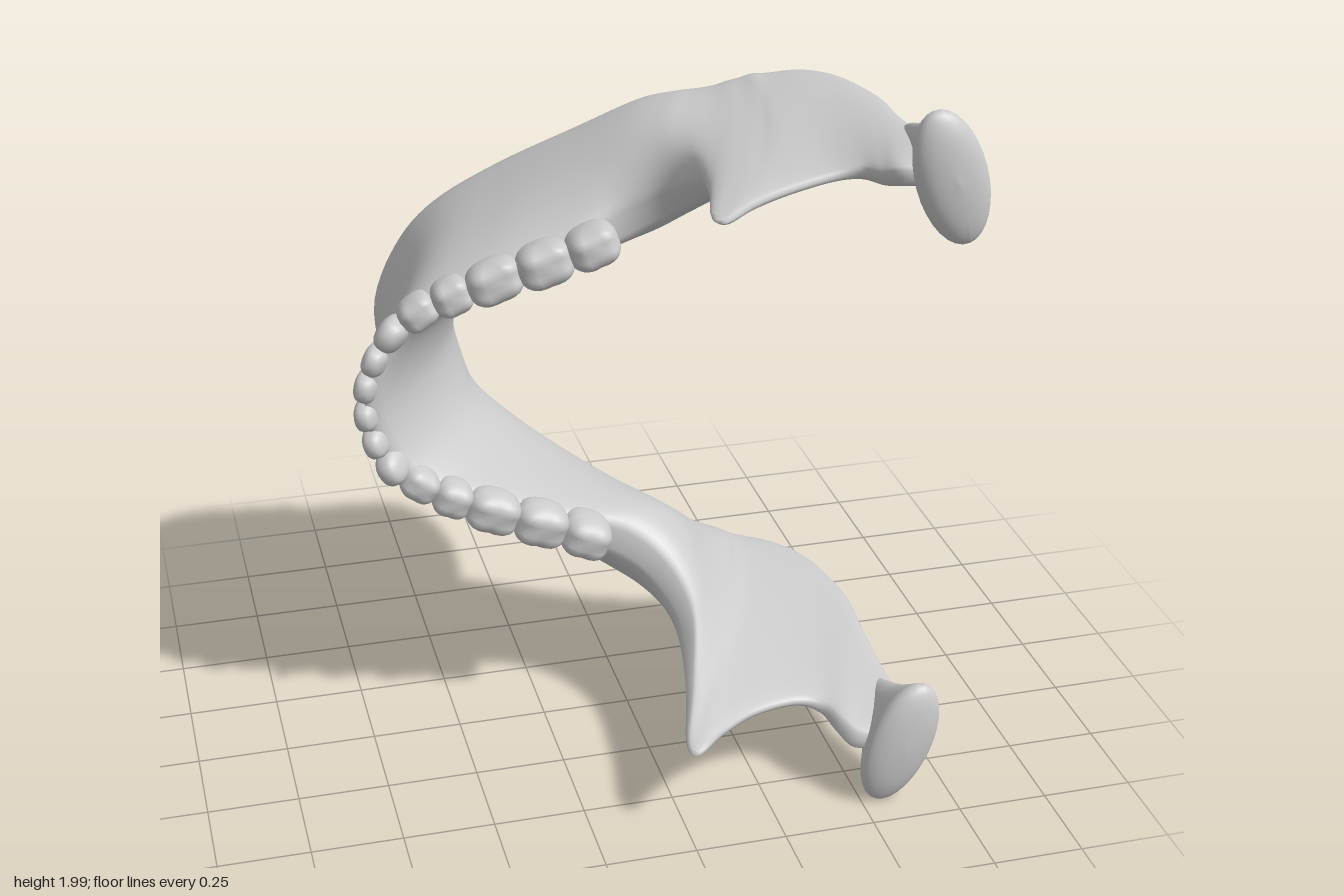
import * as THREE from 'three';

// Working frame: x = back of the jaw, y = sideways from its midline, z = towards the teeth.
// Each column of the bone sheet is bottom, middle, top; each as [x, y, z, thickness].
const BODY = [
  [[-0.50, 0, -0.69, 0.30], [-0.535, 0, -0.35, 0.19], [-0.705, 0, -0.03, 0.10]],
  [[-0.46, 0.15, -0.685, 0.26], [-0.49, 0.16, -0.35, 0.18], [-0.665, 0.15, -0.03, 0.10]],
  [[-0.38, 0.28, -0.65, 0.20], [-0.41, 0.29, -0.32, 0.18], [-0.57, 0.26, -0.02, 0.11]],
  [[-0.22, 0.41, -0.59, 0.16], [-0.25, 0.395, -0.28, 0.18], [-0.38, 0.345, 0.0, 0.13]],
  [[-0.02, 0.54, -0.50, 0.14], [-0.06, 0.495, -0.22, 0.20], [-0.16, 0.42, 0.01, 0.14]],
  [[0.14, 0.64, -0.43, 0.14], [0.07, 0.555, -0.16, 0.23], [0.0, 0.49, 0.0, 0.15]],
  [[0.24, 0.675, -0.39, 0.13], [0.155, 0.605, -0.12, 0.22], [0.10, 0.565, 0.06, 0.14]],
  [[0.30, 0.69, -0.37, 0.12], [0.205, 0.645, -0.07, 0.18], [0.14, 0.64, 0.20, 0.11]],
];
const RAMUS = [
  [[0.34, 0.70, -0.36, 0.12], [0.245, 0.68, 0.0, 0.14], [0.09, 0.71, 0.42, 0.07]],
  [[0.37, 0.71, -0.355, 0.12], [0.275, 0.705, 0.05, 0.11], [0.03, 0.75, 0.62, 0.04]],
  [[0.40, 0.72, -0.35, 0.11], [0.30, 0.72, 0.08, 0.09], [0.05, 0.76, 0.67, 0.04]],
  [[0.43, 0.73, -0.345, 0.11], [0.33, 0.73, 0.09, 0.08], [0.14, 0.76, 0.59, 0.05]],
  [[0.47, 0.735, -0.335, 0.10], [0.37, 0.74, 0.09, 0.08], [0.25, 0.76, 0.52, 0.05]],
  [[0.56, 0.75, -0.30, 0.10], [0.465, 0.755, 0.09, 0.08], [0.38, 0.77, 0.48, 0.05]],
  [[0.635, 0.76, -0.20, 0.10], [0.54, 0.77, 0.15, 0.085], [0.45, 0.785, 0.50, 0.07]],
  [[0.68, 0.77, 0.0, 0.10], [0.58, 0.785, 0.285, 0.095], [0.48, 0.80, 0.57, 0.09]],
  [[0.67, 0.785, 0.20, 0.10], [0.60, 0.80, 0.41, 0.10], [0.52, 0.82, 0.62, 0.10]],
  [[0.665, 0.81, 0.42, 0.10], [0.645, 0.815, 0.525, 0.10], [0.62, 0.82, 0.63, 0.10]],
];
const COLUMNS = BODY.concat(RAMUS);
const LAST = COLUMNS.length - 1;

// The slight skew of the whole jaw, and its place in the world.
const PLACE = new THREE.Matrix4().set(
  1, 0.03, 0, 0,
  -0.02, 1, -0.03, 1.031,
  0, 0, 1, 0,
  0, 0, 0, 1);

// Number k of row r in column i; negative columns mirror to the other side.
function entry(i, r, k) {
  const n = COLUMNS[Math.min(Math.abs(i), LAST)][r][k];
  return k === 1 && i < 0 ? -n : n;
}

// Smooth point [x, y, z, thickness] on the sheet: s along the arch, v from bottom to top.
function sheet(s, v) {
  const i = Math.min(Math.floor(s), LAST - 1), f = s - i;
  const w = [2 * (v - 0.5) * (v - 1), 4 * v * (1 - v), 2 * v * (v - 0.5)];
  return [0, 1, 2, 3].map((k) => {
    const [a, b, c, d] = [-1, 0, 1, 2].map((o) =>
      w.reduce((sum, wr, r) => sum + wr * entry(i + o, r, k), 0));
    return b + 0.5 * f * (c - a + f * (2 * a - 5 * b + 4 * c - d + f * (3 * (b - c) + d - a)));
  });
}

// Sideways normal of the sheet at s, taken over a wide span to stay smooth
function sheetNormal(s) {
  const a = sheet(Math.max(s - 2, -LAST), 0.5), b = sheet(Math.min(s + 2, LAST), 0.5);
  return new THREE.Vector2(a[1] - b[1], b[0] - a[0]).normalize();
}

// Closed rounded sections lofted from one condyle round the chin to the other
function boneGeometry() {
  const steps = LAST * 2 * 6, ring = 40, pos = [], index = [];
  for (let i = 0; i <= steps; i++) {
    const s = -LAST + (i / steps) * 2 * LAST;
    const n = sheetNormal(s);
    for (let j = 0; j < ring; j++) {
      const a = (j / ring) * Math.PI * 2, sin = Math.sin(a);
      const [x, y, z, t] = sheet(s, (1 - Math.cos(a)) / 2);
      const off = Math.sign(sin) * Math.sqrt(Math.abs(sin)) * t / 2;
      pos.push(x + n.x * off, y + n.y * off, z);
      if (i < steps) {
        const p = i * ring + j, q = i * ring + (j + 1) % ring;
        index.push(p, q, p + ring, q, q + ring, p + ring);
      }
    }
  }
  const g = new THREE.BufferGeometry();
  g.setAttribute('position', new THREE.Float32BufferAttribute(pos, 3));
  g.setIndex(index);
  return g;
}

// Neck flaring steadily to a shallow ridged head, wider across the jaw
function condyleGeometry() {
  const profile = [[0, 0], [0.2, 0.06], [0.42, 0.16], [0.62, 0.235], [0.86, 0.3], [0.99, 0.335],
    [0.95, 0.36], [0.72, 0.378], [0.4, 0.388], [0, 0.393]];
  const curve = new THREE.SplineCurve(profile.map(([r, h]) => new THREE.Vector2(r, h)));
  const pts = curve.getPoints(36).map((p) => new THREE.Vector2(Math.max(p.x, 0), p.y));
  return new THREE.LatheGeometry(pts, 32)
    .rotateX(Math.PI / 2)
    .scale(0.092, 0.185, 1)
    .rotateZ(0.33)
    .translate(0.63, 0.82, 0.3);
}

// Boxy crown; cusps > 0 raises four corners round a central pit
function toothGeometry(length, width, height, cusps) {
  const g = new THREE.SphereGeometry(1, 20, 16), p = g.attributes.position;
  const square = (n) => Math.sign(n) * Math.pow(Math.abs(n), 0.8);
  for (let i = 0; i < p.count; i++) {
    const x = square(p.getX(i)), y = square(p.getY(i)), z = square(p.getZ(i));
    const bump = z > 0 ? cusps * z * (Math.abs(x * y) * 2 - 0.4) : 0;
    p.setXYZ(i, x * length / 2, y * width / 2, z * height + bump);
  }
  return g;
}

// Turn a geometry to the other side of the midline, keeping faces outward
function mirrored(g) {
  const m = g.clone().scale(1, -1, 1), ix = m.index;
  for (let i = 0; i < ix.count; i += 3) {
    const a = ix.getX(i);
    ix.setX(i, ix.getX(i + 1));
    ix.setX(i + 1, a);
  }
  return m;
}

export function createModel() {
  const group = new THREE.Group();
  group.name = 'lowerJaw';
  const material = new THREE.MeshStandardMaterial({ color: 0xcccccc });

  function add(name, geometry) {
    geometry.applyMatrix4(PLACE);
    geometry.computeVertexNormals();
    const mesh = new THREE.Mesh(geometry, material);
    mesh.name = name;
    group.add(mesh);
  }
  function addPair(name, geometry) {
    const other = mirrored(geometry);
    add(name + 'Upper', geometry);
    add(name + 'Lower', other);
  }

  add('jawBone', boneGeometry());
  addPair('condyle', condyleGeometry());

  // Teeth: [name, length along the arch, width, half height, cusp height]
  const teeth = [
    ['incisor', 0.08, 0.07, 0.08, 0], ['incisor', 0.08, 0.07, 0.08, 0],
    ['canine', 0.09, 0.08, 0.08, 0], ['premolar', 0.10, 0.095, 0.06, 0.012],
    ['premolar', 0.10, 0.105, 0.06, 0.015], ['molar', 0.14, 0.12, 0.065, 0.02],
    ['molar', 0.14, 0.125, 0.07, 0.02], ['molar', 0.13, 0.12, 0.08, 0.02],
  ];
  const ridge = new THREE.CatmullRomCurve3(Array.from({ length: 51 }, (_, i) =>
    new THREE.Vector3(...sheet(i / 10, 1).slice(0, 3))));
  const ridgeLength = ridge.getLength();
  let along = 0;
  teeth.forEach(([name, length, width, height, cusps], i) => {
    const u = Math.min((along + length / 2) / ridgeLength, 1);
    along += length;
    const c = ridge.getPointAt(u), t = ridge.getTangentAt(u);
    const lean = i < 3 ? 0.45 : 0.1;
    const g = toothGeometry(length * 1.14, width, height, cusps)
      .rotateX(-lean)
      .rotateZ(Math.atan2(t.y, t.x))
      .translate(c.x, c.y, c.z - 0.05 + i * 0.009);
    addPair(name + (i + 1), g);
  });
  return group;
}
